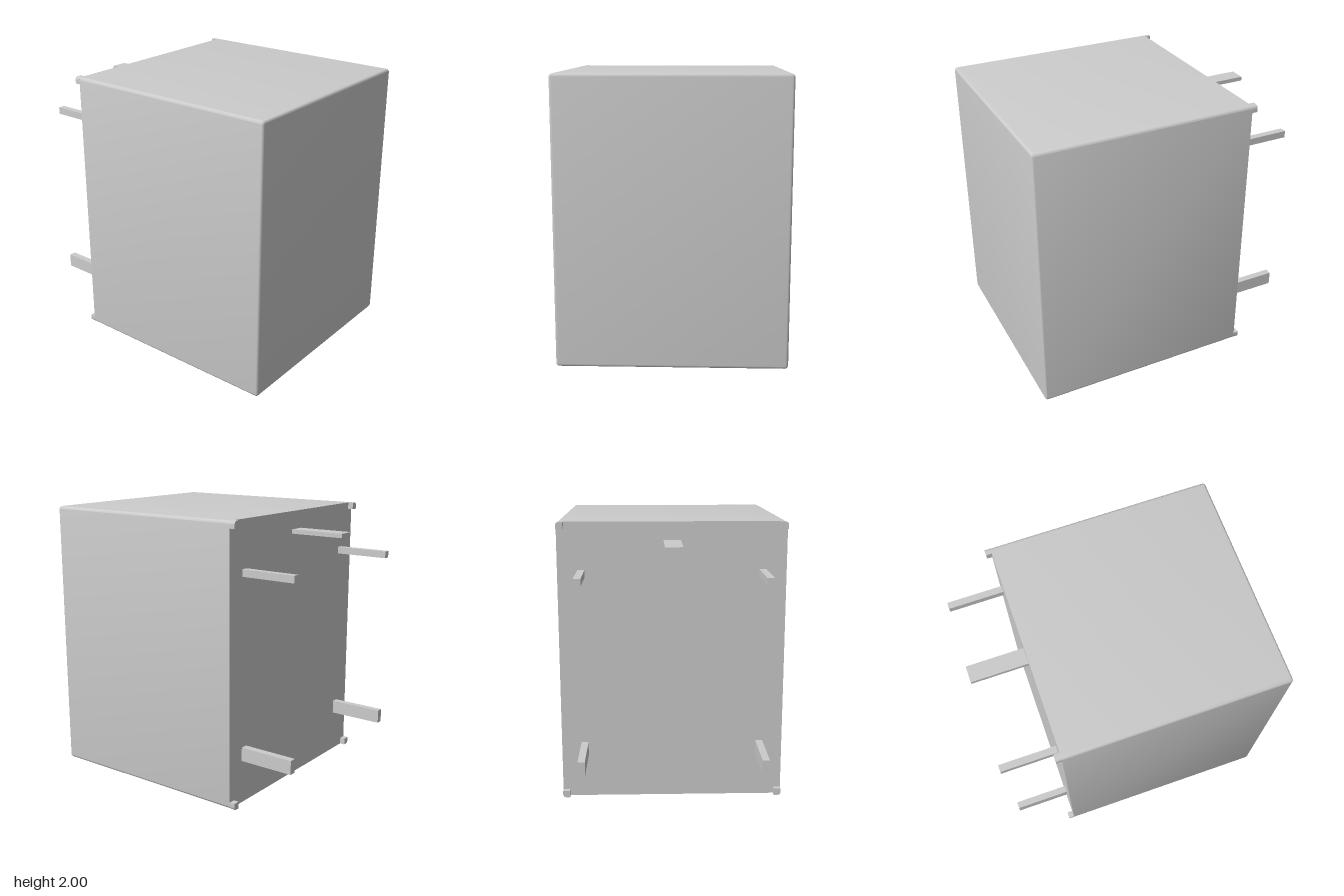
import * as THREE from 'three';
import { toCreasedNormals } from 'three/addons/utils/BufferGeometryUtils.js';

const HALF_W = 0.797, HEIGHT = 2, FRONT = 1, BACK = -0.595, TIP = -1;
const ROUND = 0.025, BEVEL = 0.02;

function roundedRect(w, h, r) {
  const s = new THREE.Shape();
  s.absarc(w / 2 - r, h / 2 - r, r, 0, Math.PI / 2);
  s.absarc(-w / 2 + r, h / 2 - r, r, Math.PI / 2, Math.PI);
  s.absarc(-w / 2 + r, -h / 2 + r, r, Math.PI, Math.PI * 1.5);
  s.absarc(w / 2 - r, -h / 2 + r, r, Math.PI * 1.5, Math.PI * 2);
  s.closePath();
  return s;
}

// Rounded front and side edges; the rear bevel is flattened into a sharp-edged base
function caseGeometry() {
  const depth = FRONT - BACK - BEVEL;
  const geo = new THREE.ExtrudeGeometry(roundedRect(HALF_W * 2, HEIGHT, ROUND), {
    depth, curveSegments: 5, bevelThickness: BEVEL, bevelSize: BEVEL,
    bevelOffset: -BEVEL, bevelSegments: 4,
  });
  const p = geo.attributes.position;
  for (let i = 0; i < p.count; i++) p.setZ(i, Math.max(p.getZ(i), 0));
  geo.translate(0, HEIGHT / 2, BACK);
  return toCreasedNormals(geo, 0.6);
}

// Square stand-off whose outer corner follows the rounding of the case
function footGeometry(sx, sy) {
  const a = 0.05, s = new THREE.Shape();
  const x = sx * HALF_W, y = sy * HEIGHT / 2;
  s.moveTo(x - sx * a, y - sy * a);
  s.lineTo(x, y - sy * a);
  s.lineTo(x, y - sy * ROUND);
  s.quadraticCurveTo(x, y, x - sx * ROUND, y);
  s.lineTo(x - sx * a, y);
  s.closePath();
  const geo = new THREE.ExtrudeGeometry(s, { depth: 0.04, bevelEnabled: false, curveSegments: 5 });
  geo.translate(0, HEIGHT / 2, BACK - 0.04);
  return toCreasedNormals(geo, 0.6);
}

export function createModel() {
  const model = new THREE.Group();
  model.name = 'relay';
  const material = new THREE.MeshStandardMaterial({ color: 0xcccccc });
  const add = (name, geo) => {
    const mesh = new THREE.Mesh(geo, material);
    mesh.name = name;
    model.add(mesh);
    return mesh;
  };
  const addPin = (name, x, y, w, h) =>
    add(name, new THREE.BoxGeometry(w, h, BACK - TIP)).position.set(x, y, (BACK + TIP) / 2);

  add('case', caseGeometry());

  // Corner feet and paired contact pins on the back
  for (const sx of [-1, 1]) {
    const side = sx > 0 ? 'left' : 'right';
    for (const sy of [-1, 1]) add(`${side}${sy > 0 ? 'Upper' : 'Lower'}Foot`, footGeometry(sx, sy));
    addPin(`${side}UpperPin`, sx * 0.631, 1.643, 0.05, 0.05);
    addPin(`${side}LowerPin`, sx * 0.631, 0.363, 0.05, 0.1);
  }

  // Wide flat common pin
  addPin('centrePin', 0, 1.856, 0.12, 0.03);

  return model;
}
